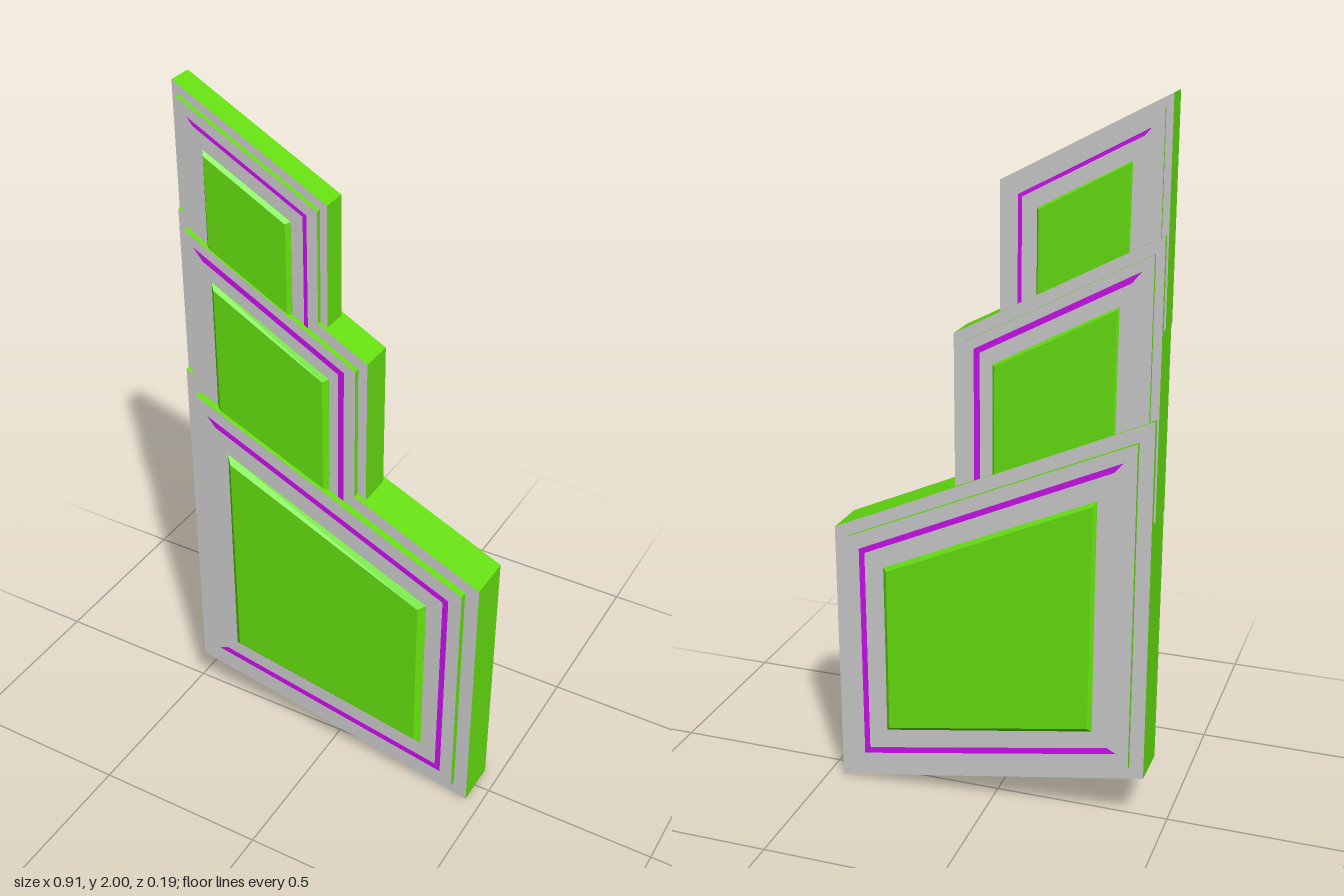
import * as THREE from 'three';

const green = new THREE.MeshStandardMaterial({ color: 0x66e010, flatShading: true });
const grey = new THREE.MeshStandardMaterial({ color: 0xcccccc, flatShading: true });
const purple = new THREE.MeshStandardMaterial({ color: 0xcc10ee, flatShading: true });

// Prism through z from a polygon, centred on zc; an optional chamfer is cut inward at both ends.
function prism(name, points, half, zc, materials, chamferSize = 0, chamferDepth = 0) {
  const shape = new THREE.Shape(points.map(([x, y]) => new THREE.Vector2(x, y)));
  const depth = 2 * (half - chamferDepth);
  const geometry = new THREE.ExtrudeGeometry(shape, {
    depth,
    bevelEnabled: chamferSize > 0,
    bevelSize: chamferSize,
    bevelOffset: -chamferSize,
    bevelThickness: chamferDepth,
    bevelSegments: 1,
  });
  geometry.translate(0, 0, zc - depth / 2);
  const mesh = new THREE.Mesh(geometry, materials);
  mesh.name = name;
  return mesh;
}

// Four-sided plate with vertical sides: left x, right x, then the four corner heights.
const quad = ([l, r, bottomL, bottomR, topR, topL]) =>
  [[l, bottomL], [r, bottomR], [r, topR], [l, topL]];

// Line band along the top, right and bottom edges, open on the left with slanted ends.
function band([l, r, bottomL, bottomR, topR, topL], w) {
  const top = (x) => topL + (topR - topL) * (x - l) / (r - l);
  const bottom = (x) => bottomL + (bottomR - bottomL) * (x - l) / (r - l);
  const end = l + 1.6 * w, inner = r - w, v = w * 1.1;
  return [
    [l, bottomL], [r, bottomR], [r, topR], [l, topL],
    [end, top(end) - v], [inner, top(inner) - v],
    [inner, bottom(inner) + v], [end, bottom(end) + v],
  ];
}

// Each outline: left, right, bottomLeft, bottomRight, topRight, topLeft.
const tiers = [
  {
    name: 'lowerTier', line: 0.016, bevel: 0.018,
    slab: [-0.445, 0.455, 0.16, 0.0, 0.785, 1.19], slabHalf: 0.065,
    plate: [-0.405, 0.415, 0.19, 0.05, 0.765, 1.13], plateHalf: 0.083,
    trim: [-0.37, 0.377, 0.232, 0.094, 0.735, 1.075],
    panel: [-0.307, 0.312, 0.283, 0.175, 0.692, 0.97], panelHalf: 0.095,
  },
  {
    name: 'middleTier', line: 0.016, bevel: 0.014,
    slab: [-0.45, 0.103, 0.91, 0.8, 1.367, 1.66], slabHalf: 0.048,
    plate: [-0.427, 0.077, 0.94, 0.84, 1.345, 1.615], plateHalf: 0.061,
    trim: [-0.397, 0.044, 0.97, 0.88, 1.333, 1.57],
    panel: [-0.347, 0.0, 1.0, 0.92, 1.3, 1.485], panelHalf: 0.069,
  },
  {
    name: 'upperTier', line: 0.01, bevel: 0.01,
    slab: [-0.455, -0.02, 1.42, 1.33, 1.77, 2.0], slabHalf: 0.035,
    plate: [-0.437, -0.04, 1.43, 1.35, 1.755, 1.965], plateHalf: 0.045,
    trim: [-0.405, -0.07, 1.45, 1.37, 1.738, 1.917],
    panel: [-0.365, -0.115, 1.46, 1.4, 1.71, 1.842], panelHalf: 0.053,
  },
];

export function createModel() {
  const model = new THREE.Group();
  model.name = 'steppedPanel';
  for (const t of tiers) {
    const tier = new THREE.Group();
    tier.name = t.name;
    tier.add(
      // Grey-faced slabs with green rims
      prism('outerSlab', quad(t.slab), t.slabHalf, -0.006, [grey, green]),
      prism('innerPlate', quad(t.plate), t.plateHalf, -0.003, [grey, green]),
      // Thin purple line on both faces
      prism('trimLine', band(t.trim, t.line), t.plateHalf + 0.0015, -0.003, purple),
      // Raised, chamfered green field on both faces
      prism('raisedPanel', quad(t.panel), t.panelHalf, 0, green,
        t.bevel, t.panelHalf - t.plateHalf + 0.002),
    );
    tier.rotation.y = -0.0055;
    model.add(tier);
  }
  return model;
}
